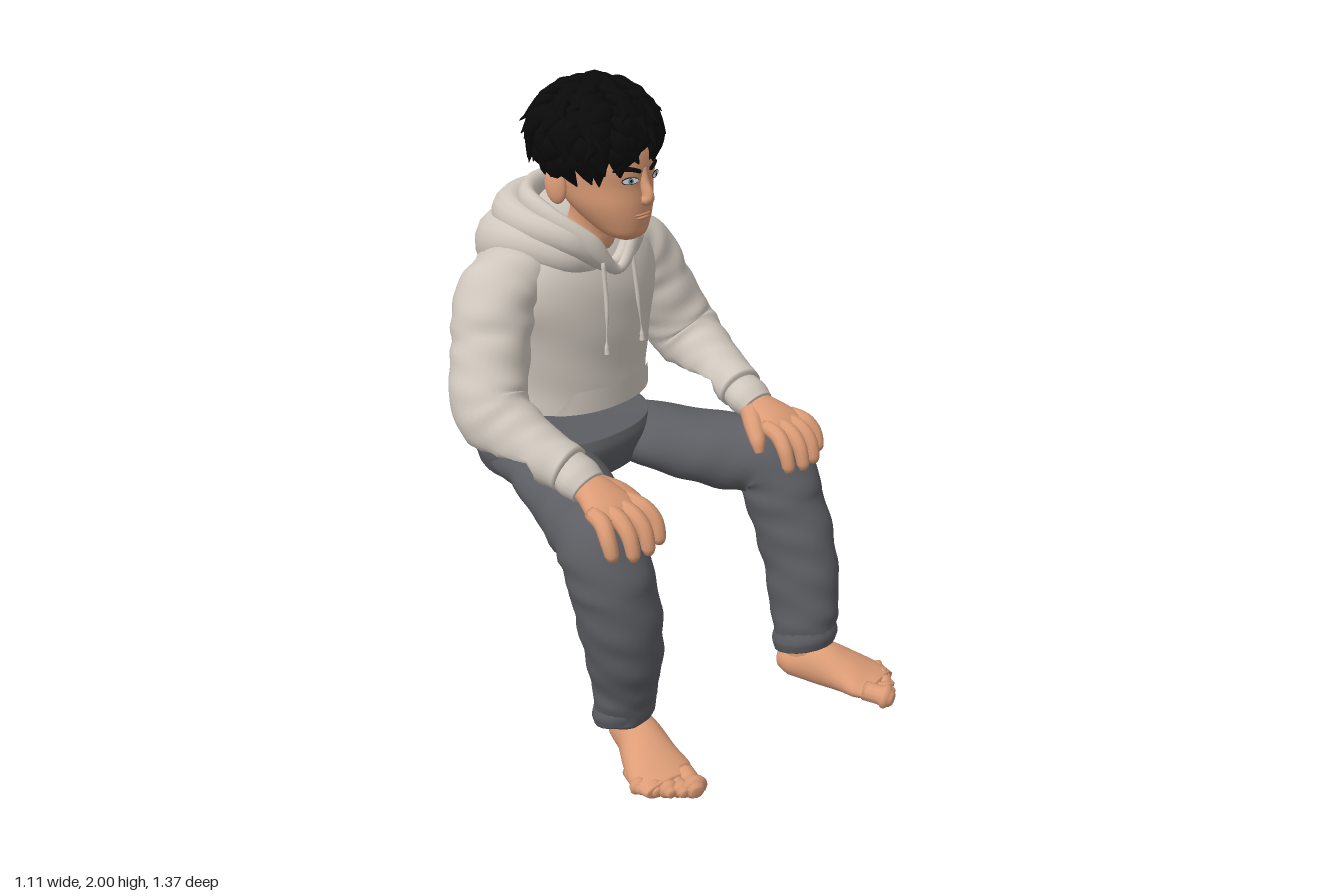
import * as THREE from 'three';
import { mergeGeometries } from 'three/addons/utils/BufferGeometryUtils.js';

const V = (x, y, z) => new THREE.Vector3(x, y, z);
const mat = (name, color, side = THREE.FrontSide) => {
  const m = new THREE.MeshStandardMaterial({ color, side });
  m.name = name;
  return m;
};

// Skin a list of equal-sized rings; each cap closes with a centre point
function loft(rings, capStart = true, capEnd = true) {
  const n = rings[0].length;
  const mid = (r) => {
    const c = r.reduce((a, p) => a.add(p), V(0, 0, 0)).divideScalar(n);
    return r.map(() => c);
  };
  const all = [...rings];
  if (capStart) all.unshift(mid(rings[0]));
  if (capEnd) all.push(mid(rings[rings.length - 1]));
  const pos = [], idx = [];
  all.forEach((r) => r.forEach((p) => pos.push(p.x, p.y, p.z)));
  for (let i = 0; i < all.length - 1; i++) for (let j = 0; j < n; j++) {
    const k = (j + 1) % n, a = i * n + j, b = i * n + k, c = b + n, d = a + n;
    idx.push(a, b, c, a, c, d);
  }
  const g = new THREE.BufferGeometry();
  g.setAttribute('position', new THREE.Float32BufferAttribute(pos, 3));
  g.setIndex(idx);
  g.computeVertexNormals();
  return g;
}

// Elliptical tube through points [x, y, z, sideRadius, otherRadius]
function limb(pts, { steps = 8, sides = 18, ref = V(1, 0, 0), fold = 0, closed = false, rule } = {}) {
  const path = new THREE.CatmullRomCurve3(pts.map((p) => V(p[0], p[1], p[2])), closed);
  const radii = new THREE.CatmullRomCurve3(pts.map((p) => V(p[3], p[4] ?? p[3], 0)), closed);
  const rings = [], count = steps * (pts.length - (closed ? 0 : 1));
  for (let i = 0; i <= count; i++) {
    const t = i / count, c = path.getPoint(t), r = radii.getPoint(t), dir = path.getTangent(t);
    const side = ref.clone().addScaledVector(dir, -ref.dot(dir)).normalize();
    const other = dir.clone().cross(side);
    const ring = [];
    for (let j = 0; j < sides; j++) {
      const a = j / sides * Math.PI * 2;
      const k = 1 + fold * Math.sin(t * 55 + 2.5 * Math.sin(a + t * 6)) * Math.sin(a * 2 + t * 9);
      const p = c.clone().addScaledVector(side, Math.cos(a) * r.x * k).addScaledVector(other, Math.sin(a) * r.y * k);
      if (rule) rule(p);
      ring.push(p);
    }
    rings.push(ring);
  }
  return loft(rings, !closed, !closed);
}

// Horizontal superellipse sections from rows [y, front z, back z, half width]
function stack(rows, { steps = 6, sides = 40, power = 2, open = false, rule } = {}) {
  const a = new THREE.CatmullRomCurve3(rows.map((r) => V(r[3], r[0], (r[1] + r[2]) / 2)));
  const b = new THREE.CatmullRomCurve3(rows.map((r) => V((r[1] - r[2]) / 2, r[0], 0)));
  const rings = [], count = steps * (rows.length - 1);
  const se = (v) => Math.sign(v) * Math.abs(v) ** (2 / power);
  for (let i = 0; i <= count; i++) {
    const p = a.getPoint(i / count), rz = b.getPoint(i / count).x;
    rings.push(Array.from({ length: sides }, (_, j) => {
      const t = j / sides * Math.PI * 2;
      const q = V(p.x * se(Math.cos(t)), p.y, p.z - rz * se(Math.sin(t)));
      if (rule) rule(q);
      return q;
    }));
  }
  return loft(rings, !open, true);
}

export function createModel() {
  const model = new THREE.Group();
  const cloth = mat('hoodieCloth', 0xd0c8be, THREE.DoubleSide), denim = mat('greyDenim', 0x5d5e63);
  const skin = mat('skin', 0xdc9c76), hairMat = mat('blackHair', 0x0a0a0b);
  const lipMat = mat('lips', 0xcb8a69), white = mat('eyeWhite', 0xe3e8ea), iris = mat('iris', 0x6d93a3);
  const add = (name, geo, m, parent = model) => {
    const mesh = new THREE.Mesh(geo, m);
    mesh.name = name;
    parent.add(mesh);
    return mesh;
  };
  const ball = (name, m, [x, y, z], [sx, sy, sz]) => {
    const b = add(name, new THREE.SphereGeometry(1, 28, 18), m);
    b.position.set(x, y, z);
    b.scale.set(sx, sy, sz);
    return b;
  };

  // Hoodie body, open at its lower edge
  add('hoodieBody', stack([
    [0.98, -0.14, -0.68, 0.28], [1.08, -0.14, -0.64, 0.277], [1.23, -0.135, -0.595, 0.295],
    [1.35, -0.145, -0.59, 0.33], [1.43, -0.17, -0.575, 0.315], [1.5, -0.21, -0.55, 0.24], [1.53, -0.25, -0.5, 0.15],
  ], { power: 2.2, open: true, rule: (p) => { p.z += 0.006 * Math.sin(p.y * 38 + p.x * 16) * (1.5 - p.y); } }), cloth);

  // Front pocket bent round the belly
  const pocket = new THREE.PlaneGeometry(1, 1, 18, 3), pp = pocket.attributes.position;
  for (let i = 0; i < pp.count; i++) {
    const v = pp.getY(i) + 0.5, x = pp.getX(i) * (0.43 - 0.09 * v);
    pp.setXYZ(i, x, 0.98 + 0.075 * v, -0.4 + 0.27 * (1 - Math.abs(x / 0.28) ** 2.2) ** (1 / 2.2));
  }
  pocket.computeVertexNormals();
  add('pocket', pocket, cloth);

  // Hood lying on the shoulders: filled middle, draped folds and raised rim
  const hoop = (half) => [...half, ...half.slice(1, -1).reverse().map(([x, ...r]) => [-x, ...r])];
  const ring = (name, half) => add(name, limb(hoop(half), { closed: true, ref: V(0, 1, 0), sides: 14 }), cloth);
  ball('hoodFill', cloth, [0, 1.5, -0.43], [0.23, 0.125, 0.17]);
  ring('hoodDrape', [[0, 1.42, -0.2, 0.025, 0.025], [0.14, 1.47, -0.225, 0.05, 0.045], [0.2, 1.505, -0.34, 0.07, 0.065],
    [0.165, 1.475, -0.48, 0.1, 0.08], [0, 1.455, -0.55, 0.11, 0.085]]);
  ring('hoodMiddleFold', [[0, 1.43, -0.165, 0.02, 0.02], [0.135, 1.525, -0.2, 0.045, 0.035], [0.19, 1.56, -0.32, 0.055, 0.045],
    [0.145, 1.57, -0.45, 0.07, 0.06], [0, 1.565, -0.51, 0.08, 0.065]]);
  ring('hoodRim', [[0, 1.42, -0.142, 0.016, 0.016], [0.1, 1.515, -0.16, 0.033, 0.02], [0.165, 1.59, -0.25, 0.035, 0.022],
    [0.15, 1.625, -0.37, 0.045, 0.03], [0, 1.64, -0.45, 0.04, 0.03]]);
  for (const s of [-1, 1]) {
    add('drawstring', limb([[s * 0.065 - 0.008, 1.46, -0.135, 0.007], [s * 0.07 - 0.008, 1.32, -0.117, 0.007],
      [s * 0.08 - 0.008, 1.2, -0.11, 0.007], [s * 0.08 - 0.008, 1.175, -0.108, 0.009]], { sides: 8 }), cloth);
  }

  // Sleeves with cut-off elbows, cuffs and hands resting on the knees
  for (const s of [-1, 1]) {
    const L = (pts, o) => limb(pts.map(([x, ...r]) => [s * x, ...r]), o);
    add('sleeve', L([[0.2, 1.42, -0.37, 0.1, 0.13], [0.31, 1.36, -0.35, 0.122, 0.13], [0.375, 1.23, -0.315, 0.115, 0.125],
      [0.44, 1.07, -0.25, 0.113, 0.122], [0.43, 0.995, -0.12, 0.095, 0.095], [0.4, 0.945, 0.03, 0.077, 0.068]],
    { steps: 12, sides: 28, fold: 0.03, rule: (p) => { if (p.z < -0.03) p.y = Math.max(p.y, 0.98); } }), cloth);
    add('cuff', L([[0.402, 0.948, 0.02, 0.07, 0.058], [0.398, 0.928, 0.06, 0.076, 0.06], [0.395, 0.908, 0.1, 0.066, 0.05]]), cloth);
    add('palm', L([[0.395, 0.915, 0.07, 0.05, 0.04], [0.395, 0.9, 0.13, 0.068, 0.042],
      [0.4, 0.872, 0.2, 0.09, 0.036], [0.4, 0.855, 0.235, 0.085, 0.025]]), skin);
    for (let i = 0; i < 4; i++) {
      const w = i - 1.5, len = [0.9, 1, 0.97, 0.75][i], x = 0.4 + w * 0.06;
      add('finger', L([[0.4 + w * 0.044, 0.88, 0.18, 0.025], [0.4 + w * 0.052, 0.868, 0.18 + 0.07 * len, 0.026],
        [x, 0.832, 0.18 + 0.112 * len, 0.024], [x, 0.83 - 0.055 * len, 0.185 + 0.125 * len, 0.021],
        [x, 0.82 - 0.065 * len, 0.185 + 0.125 * len, 0.011]], { sides: 10, steps: 5 }), skin);
    }
    add('thumb', L([[0.36, 0.905, 0.1, 0.035], [0.315, 0.88, 0.15, 0.031], [0.287, 0.845, 0.19, 0.025],
      [0.278, 0.81, 0.205, 0.013]], { sides: 10 }), skin);
  }

  // Trouser seat, flat below, sloping down to the back
  add('trouserSeat', stack([[0.716, -0.2, -0.56, 0.22], [0.73, -0.17, -0.62, 0.27], [0.79, -0.14, -0.645, 0.295],
    [0.84, -0.13, -0.65, 0.295], [0.88, -0.14, -0.645, 0.28]],
  { power: 2.3, rule: (p) => { if (p.y > 0.78) p.y -= Math.max(0, -p.z - 0.3) * 0.14 * (p.y - 0.78) * 10; } }), denim);

  // Trouser legs, turned-up hems and bare feet
  const legs = [
    { s: 1, shin: [[0.39, 0.73, 0.16, 0.13, 0.13], [0.4, 0.6, 0.225, 0.124, 0.13], [0.4, 0.42, 0.29, 0.112, 0.13],
      [0.388, 0.25, 0.325, 0.1, 0.12], [0.385, 0.14, 0.335, 0.095, 0.103]], heel: [0.352, 0.25], turn: 0.29 },
    { s: -1, shin: [[-0.39, 0.73, 0.14, 0.13, 0.13], [-0.39, 0.6, 0.19, 0.126, 0.135], [-0.365, 0.42, 0.2, 0.118, 0.13],
      [-0.335, 0.25, 0.18, 0.1, 0.105], [-0.325, 0.14, 0.168, 0.095, 0.09]], heel: [-0.265, 0.095], turn: -0.41 },
  ];
  for (const { s, shin, heel, turn } of legs) {
    add('trouserLeg', limb([[s * 0.13, 0.785, -0.46, 0.14, 0.075], [s * 0.2, 0.785, -0.24, 0.15, 0.09],
      [s * 0.3, 0.755, -0.02, 0.14, 0.118], ...shin],
    { steps: 12, sides: 30, fold: 0.035, rule: (p) => { if (p.z < -0.18) p.y = Math.max(p.y, 0.716); } }), denim);
    const [hx, , hz, hr, hq] = shin[4];
    add('hem', limb([[hx, 0.19, hz, hr, hq], [hx, 0.15, hz, hr + 0.008, hq + 0.008], [hx, 0.115, hz, hr, hq]],
      { rule: (p) => { p.y += (p.z - hz) * 0.3; } }), denim);

    const foot = new THREE.Group();
    foot.name = s > 0 ? 'leftFoot' : 'rightFoot';
    foot.position.set(heel[0], 0, heel[1]);
    foot.rotation.y = turn;
    model.add(foot);
    const floor = (p) => { p.y = Math.max(p.y, 0); };
    add('ankle', limb([[0, 0.03, 0.075, 0.052, 0.06], [0, 0.1, 0.09, 0.058, 0.07], [0, 0.2, 0.085, 0.055, 0.06]]), skin, foot);
    add('instep', limb([[0, 0.045, 0.012, 0.038, 0.035], [0, 0.05, 0.05, 0.062, 0.06], [0, 0.06, 0.14, 0.07, 0.08],
      [s * 0.005, 0.045, 0.24, 0.09, 0.06], [s * 0.003, 0.032, 0.31, 0.102, 0.042], [s * -0.006, 0.026, 0.365, 0.088, 0.028]],
    { rule: floor, sides: 24 }), skin, foot);
    for (let i = 0; i < 5; i++) {
      const x = s * (-0.062 + i * 0.036), end = 0.428 - 0.005 * i - 0.0035 * i * i, r = i ? 0.022 : 0.032;
      add('toe', limb([[x, 0.032, end - 0.1, r], [x, 0.03, end - 0.05, r], [x, 0.026, end - 0.014, r],
        [x, 0.024, end, r * 0.6]], { sides: 12, steps: 4, rule: floor }), skin, foot);
    }
  }

  // Neck and head
  add('neck', limb([[0, 1.43, -0.31, 0.1], [0, 1.53, -0.26, 0.085], [0, 1.66, -0.22, 0.085]]), skin);
  add('head', stack([[1.53, -0.075, -0.14, 0.032], [1.545, -0.052, -0.18, 0.06], [1.585, -0.04, -0.25, 0.09],
    [1.64, -0.036, -0.32, 0.117], [1.7, -0.038, -0.365, 0.128], [1.76, -0.03, -0.385, 0.134],
    [1.83, -0.042, -0.39, 0.132], [1.91, -0.1, -0.34, 0.09]], { power: 2.15 }), skin);
  add('nose', limb([[0, 1.755, -0.042, 0.012, 0.012], [0, 1.71, -0.034, 0.013, 0.017], [0, 1.675, -0.02, 0.015, 0.02],
    [0, 1.66, -0.022, 0.021, 0.018], [0, 1.648, -0.036, 0.012, 0.01]], { sides: 12 }), skin);
  ball('upperLip', lipMat, [0, 1.613, -0.042], [0.034, 0.005, 0.01]);
  ball('lowerLip', lipMat, [0, 1.603, -0.043], [0.028, 0.006, 0.011]);
  const faceZ = (x) => -0.2 + 0.165 * Math.sqrt(1 - (x / 0.13) ** 2);
  for (const s of [-1, 1]) {
    const plate = (name, m, r, sy, out) => {
      const e = add(name, new THREE.CircleGeometry(r, 20), m);
      e.scale.y = sy;
      e.position.set(s * 0.055, 1.724, faceZ(0.055) + out);
      e.rotation.y = s * 0.4;
    };
    plate('eyeLine', hairMat, 0.028, 0.4, 0.011);
    plate('eye', white, 0.026, 0.34, 0.0125);
    plate('irisDisc', iris, 0.009, 0.95, 0.014);
    plate('pupil', hairMat, 0.004, 1, 0.0155);
    add('eyebrow', limb([0.022, 0.055, 0.092].map((x, i) => [s * x, [1.748, 1.758, 1.752][i], faceZ(x) + 0.008, [0.006, 0.007, 0.003][i], 0.006]),
      { ref: V(0, 1, 0), sides: 8 }), hairMat);
    const ear = ball('ear', skin, [s * 0.145, 1.69, -0.255], [0.018, 0.055, 0.034]);
    ear.rotation.set(-0.2, s * -0.35, 0);
  }

  // Hair: scalp cap covered with bent, tapering tufts that flick outwards
  ball('scalp', hairMat, [0, 1.83, -0.235], [0.168, 0.148, 0.183]);
  let seed = 7;
  const rand = () => (seed = (seed * 16807) % 2147483647) / 2147483647;
  const tufts = [];
  for (let row = 0; row < 7; row++) {
    const count = [4, 9, 14, 18, 20, 20, 19][row];
    for (let i = 0; i < count; i++) {
      const phi = (i + rand() * 0.7 + row * 0.4) / count * Math.PI * 2, front = Math.cos(phi);
      const reach = 2.26 - 0.33 * front;
      const theta = 0.1 + row / 6 * (reach - 0.4) + rand() * 0.12, swing = (rand() - 0.5) * 0.9;
      const at = (k, dt, f) => {
        const th = theta + dt, ph = phi + swing * f;
        return [0.175 * k * Math.sin(th) * Math.sin(ph) - 0.005, 1.83 + 0.15 * k * Math.cos(th), -0.228 + 0.183 * k * Math.sin(th) * Math.cos(ph)];
      };
      const len = 0.3 + rand() * 0.25, lift = 1.09 + (0.04 + rand() * 0.16) * Math.sin(Math.min(theta + len, 2));
      const ref = V(Math.sin(theta) * Math.sin(phi), Math.cos(theta), Math.sin(theta) * front);
      tufts.push(limb([[...at(0.94, -0.22, 0), 0.012, 0.028], [...at(1.04, 0, 0.2), 0.02, 0.038],
        [...at(1.08, len * 0.5, 0.5), 0.015, 0.024], [...at(lift, len, 1), 0.001, 0.002]], { ref, sides: 7, steps: 3 }));
    }
  }
  add('hairTufts', mergeGeometries(tufts), hairMat);
  return model;
}
